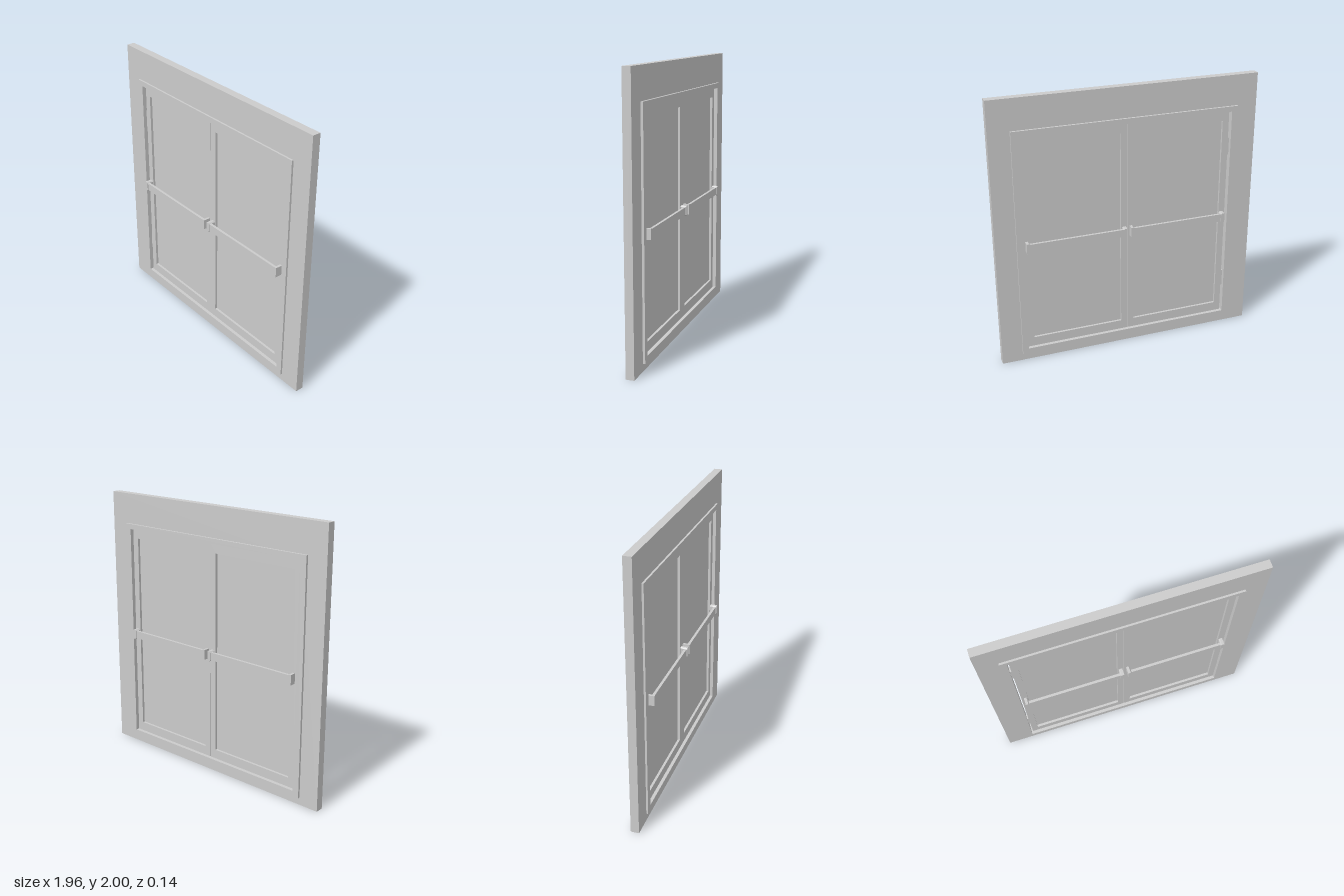
import * as THREE from 'three';

const material = new THREE.MeshStandardMaterial({ color: 0xcccccc });

function add(parent, name, geometry) {
  const mesh = new THREE.Mesh(geometry, material);
  mesh.name = name;
  parent.add(mesh);
  return mesh;
}

// Box given by its limits on each axis
function box(x0, x1, y0, y1, z0, z1) {
  return new THREE.BoxGeometry(x1 - x0, y1 - y0, z1 - z0)
    .translate((x0 + x1) / 2, (y0 + y1) / 2, (z0 + z1) / 2);
}

const corners = (x0, x1, y0, y1) =>
  [[x0, y0], [x1, y0], [x1, y1], [x0, y1]].map(([x, y]) => new THREE.Vector2(x, y));

// Rectangular slab with a rectangular opening
function ring(outer, inner, z0, z1) {
  const shape = new THREE.Shape(corners(...outer));
  shape.holes.push(new THREE.Path(corners(...inner)));
  return new THREE.ExtrudeGeometry(shape, { depth: z1 - z0, bevelEnabled: false }).translate(0, 0, z0);
}

// End bracket of a push bar; its inner corners slope towards the bar
function bracket(x, side, z0, z1) {
  const pts = [[0, -0.037], [0.019, -0.037], [0.027, -0.029], [0.027, 0.029], [0.019, 0.037], [0, 0.037]]
    .map(([u, v]) => new THREE.Vector2(x + side * u, 0.919 + v));
  return new THREE.ExtrudeGeometry(new THREE.Shape(pts), { depth: z1 - z0, bevelEnabled: false })
    .translate(0, 0, z0);
}

function pushBar(name, x0, x1, face, side) {
  const bar = new THREE.Group();
  bar.name = name;
  const span = (a, b) => (side > 0 ? [a, b] : [-b, -a]);
  add(bar, 'bar', box(x0 + 0.01, x1 - 0.01, 0.89, 0.948, ...span(0.046, 0.065)));
  add(bar, 'rightBracket', bracket(x0, 1, ...span(Math.abs(face) - 0.002, 0.071)));
  add(bar, 'leftBracket', bracket(x1, -1, ...span(Math.abs(face) - 0.002, 0.071)));
  return bar;
}

export function createModel() {
  const group = new THREE.Group();
  group.name = 'doubleDoor';
  const opening = [-0.784, 0.784, 0.098, 1.737];

  // Wall and door frame
  add(group, 'wall', ring([-0.98, 0.98, 0, 2], opening, -0.033, 0.027));
  add(group, 'doorFrame', ring([-0.832, 0.828, 0.056, 1.776], opening, -0.05, 0.041));

  const front = 0.018, back = -0.026;
  const leaves = [
    { name: 'rightDoor', x: [-0.773, 0], pane: [-0.725, -0.047], bar: [-0.755, -0.011], hinge: [-0.785, -0.771] },
    { name: 'leftDoor', x: [0.003, 0.78], pane: [0.053, 0.731], bar: [0.019, 0.763], hinge: [0.776, 0.786] },
  ];

  for (const leaf of leaves) {
    const door = new THREE.Group();
    door.name = leaf.name;
    group.add(door);

    // Door border with a recessed panel
    add(door, 'border', ring([...leaf.x, 0.1, 1.735], [...leaf.pane, 0.17, 1.668], back, front));
    add(door, 'panel', box(leaf.pane[0] - 0.005, leaf.pane[1] + 0.005, 0.165, 1.673, -0.008, 0));

    // Push bars on both faces
    door.add(pushBar('frontPushBar', ...leaf.bar, front, 1));
    door.add(pushBar('backPushBar', ...leaf.bar, back, -1));

    // Hinges
    for (const y of [0.315, 1.402]) {
      add(door, 'hinge', box(...leaf.hinge, y, y + 0.13, -0.022, 0.014));
    }
  }
  return group;
}
